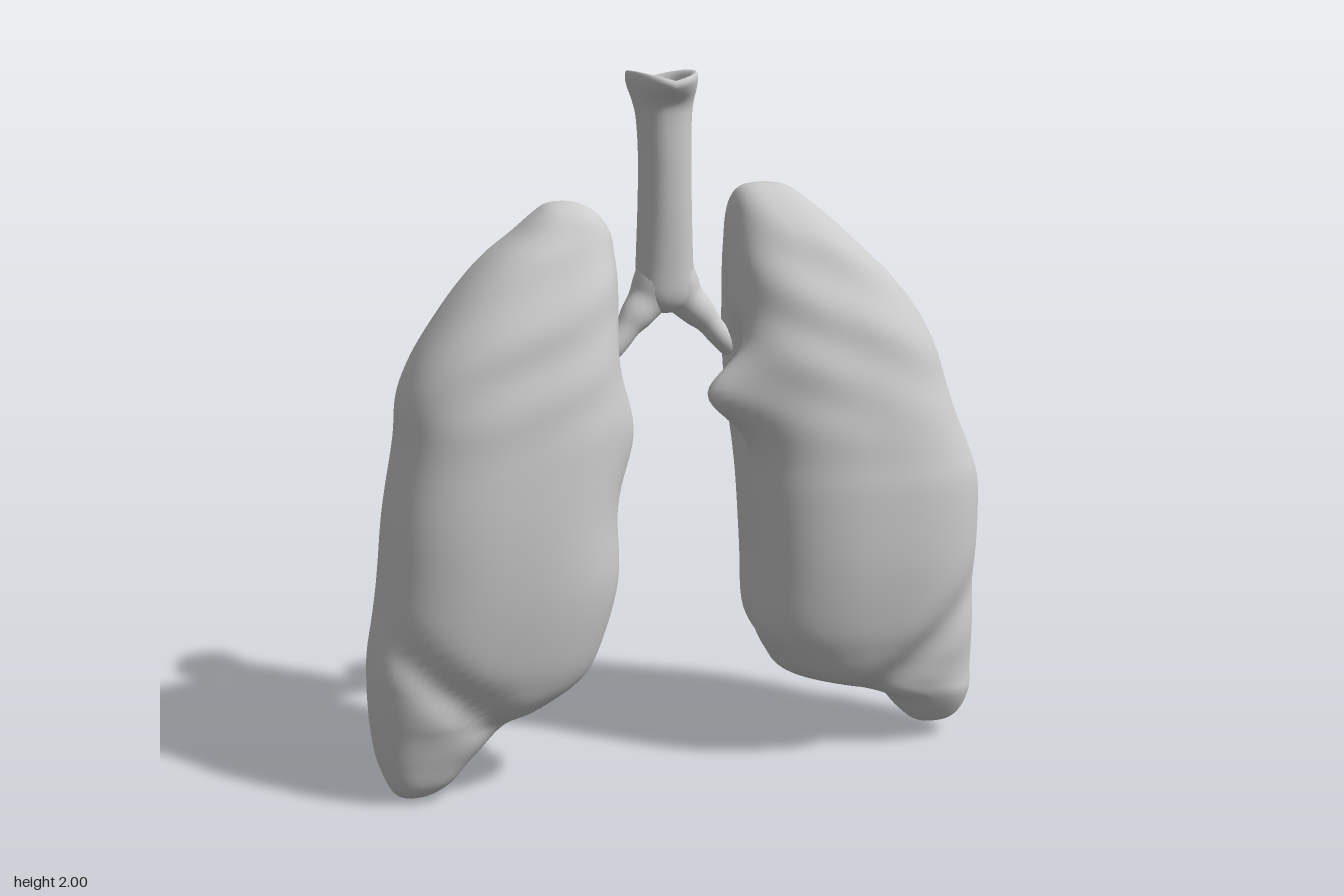
import * as THREE from 'three';
import { mergeVertices } from 'three/addons/utils/BufferGeometryUtils.js';

const material = new THREE.MeshStandardMaterial({ color: 0xcccccc, side: THREE.DoubleSide });
const bump = (v, centre, width) => Math.exp(-(((v - centre) / width) ** 2));

// Smooth skin through horizontal sections [y, xMin, xMax, zBack, zFront], listed bottom to top.
function loft(rows, steps, sides, power, deform) {
  const a = new THREE.CatmullRomCurve3(rows.map(r => new THREE.Vector3(r[1], r[0], r[2])), false, 'catmullrom');
  const b = new THREE.CatmullRomCurve3(rows.map(r => new THREE.Vector3(r[3], 0, r[4])), false, 'catmullrom');
  const positions = [], index = [], p = new THREE.Vector3();
  for (let i = 0; i <= steps; i++) {
    const s = a.getPoint(i / steps), d = b.getPoint(i / steps);
    const cx = (s.x + s.z) / 2, cz = (d.x + d.z) / 2;
    for (let j = 0; j < sides; j++) {
      const t = (j / sides) * Math.PI * 2, c = Math.cos(t), n = Math.sin(t);
      const u = Math.sign(c) * Math.abs(c) ** power, w = Math.sign(n) * Math.abs(n) ** power;
      p.set(cx + u * (s.z - s.x) / 2, s.y, cz + w * (d.z - d.x) / 2);
      if (deform) deform(p, u, w, s.z - s.x);
      positions.push(p.x, p.y, p.z);
      if (i < steps) {
        const k = i * sides + j, l = i * sides + (j + 1) % sides;
        index.push(k, k + sides, l, l, k + sides, l + sides);
      }
    }
  }
  let g = new THREE.BufferGeometry();
  g.setAttribute('position', new THREE.Float32BufferAttribute(positions, 3));
  g.setIndex(index);
  g = mergeVertices(g, 1e-5);
  g.computeVertexNormals();
  return g;
}

// Lung from [y, inner, outer, zBack, zFront]; side is +1 (left) or -1 (right).
function lungGeometry(side, rows, hilum) {
  const sections = rows.map(([y, i, o, b, f]) => side > 0 ? [y, i, o, b, f] : [y, -o, -i, b, f]);
  return loft(sections, 110, 80, 0.8, (p, u, w, width) => {
    const x = Math.abs(p.x), medial = Math.max(0, -u * side), size = Math.min(1, width / 0.4);
    // fissure between the front and back lobes on the inner face
    const span = THREE.MathUtils.smoothstep(p.y, 0.22, 0.4) * (1 - THREE.MathUtils.smoothstep(p.y, 1.15, 1.35));
    p.x += side * medial * size * 0.07 * span * bump(p.z, 0.0, 0.045);
    // inner bulge of the front lobe
    p.x -= side * medial * hilum.size * bump(p.y, hilum.y, hilum.height) * bump(p.z, 0.07, 0.09);
    // diagonal hollow above the lower outer tip
    const d = ((x - 0.58) * 0.32 - (p.y - 0.2) * 0.34) / 0.467;
    p.z -= w * 0.035 * bump(d, 0, 0.06) * size;
    // soft folds across the upper lobe
    p.z -= w * 0.006 * Math.sin(p.y * 32 + x * 14) * THREE.MathUtils.smoothstep(p.y, 0.9, 1.3) * size;
  });
}

const rightRows = [
  [0.0, 0.81, 0.81, 0.08, 0.08], [0.012, 0.76, 0.86, 0.03, 0.13], [0.05, 0.7, 0.888, 0.0, 0.165],
  [0.12, 0.63, 0.912, -0.06, 0.185], [0.2, 0.53, 0.922, -0.1, 0.205], [0.25, 0.42, 0.925, -0.125, 0.225],
  [0.32, 0.31, 0.925, -0.16, 0.247], [0.42, 0.255, 0.918, -0.195, 0.27], [0.6, 0.205, 0.885, -0.228, 0.283],
  [0.8, 0.205, 0.86, -0.245, 0.275], [1.0, 0.18, 0.82, -0.262, 0.25], [1.12, 0.175, 0.805, -0.27, 0.23],
  [1.22, 0.178, 0.762, -0.276, 0.205], [1.32, 0.175, 0.695, -0.278, 0.175], [1.42, 0.172, 0.615, -0.265, 0.13],
  [1.5, 0.175, 0.535, -0.247, 0.085], [1.56, 0.182, 0.455, -0.225, 0.04], [1.61, 0.215, 0.395, -0.195, 0.0],
  [1.637, 0.26, 0.355, -0.16, -0.05], [1.645, 0.31, 0.31, -0.11, -0.11],
];
const leftRows = [
  [0.04, 0.78, 0.78, 0.07, 0.07], [0.052, 0.725, 0.845, 0.02, 0.13], [0.09, 0.68, 0.885, -0.02, 0.16],
  [0.15, 0.62, 0.905, -0.07, 0.19], [0.2, 0.46, 0.91, -0.1, 0.205], [0.25, 0.31, 0.912, -0.125, 0.222],
  [0.32, 0.245, 0.912, -0.16, 0.245], [0.42, 0.2, 0.912, -0.195, 0.268], [0.6, 0.2, 0.915, -0.228, 0.283],
  [0.8, 0.193, 0.917, -0.245, 0.275], [0.9, 0.188, 0.89, -0.255, 0.262], [1.0, 0.178, 0.85, -0.262, 0.25],
  [1.1, 0.17, 0.82, -0.27, 0.23], [1.2, 0.165, 0.79, -0.276, 0.21], [1.3, 0.168, 0.745, -0.28, 0.18],
  [1.4, 0.173, 0.67, -0.27, 0.14], [1.5, 0.178, 0.57, -0.25, 0.09], [1.58, 0.185, 0.485, -0.222, 0.035],
  [1.64, 0.202, 0.41, -0.19, -0.01], [1.672, 0.235, 0.36, -0.16, -0.05], [1.683, 0.3, 0.3, -0.11, -0.11],
];
// Windpipe: up the outside, over the flared rim and down into the hollow.
const windpipeRows = [
  [1.31, 0, 0, -0.115, -0.115], [1.32, -0.045, 0.045, -0.16, -0.07], [1.36, -0.085, 0.085, -0.18, -0.045],
  [1.45, -0.085, 0.08, -0.195, -0.04], [1.6, -0.078, 0.075, -0.203, -0.035], [1.75, -0.075, 0.073, -0.203, -0.035],
  [1.86, -0.08, 0.075, -0.205, -0.038], [1.91, -0.088, 0.08, -0.22, -0.032], [1.95, -0.1, 0.088, -0.262, -0.002],
  [1.975, -0.103, 0.09, -0.275, 0.01], [1.99, -0.097, 0.085, -0.265, 0.0], [1.975, -0.075, 0.067, -0.235, -0.025],
  [1.93, -0.055, 0.052, -0.2, -0.045], [1.86, -0.05, 0.047, -0.185, -0.055], [1.78, -0.045, 0.042, -0.18, -0.06],
  [1.77, 0, 0, -0.12, -0.12],
];

// Tapering airway from the windpipe into one lung.
function bronchusGeometry(side) {
  const path = new THREE.CatmullRomCurve3([
    [0.01, 1.43, -0.118], [0.055, 1.355, -0.112], [0.11, 1.295, -0.09], [0.155, 1.24, -0.08], [0.23, 1.17, -0.075],
  ].map(([x, y, z]) => new THREE.Vector3(side * x, y, z)));
  const steps = 30, sides = 24, g = new THREE.TubeGeometry(path, steps, 1, sides);
  const pos = g.attributes.position, v = new THREE.Vector3();
  for (let i = 0; i < pos.count; i++) {
    const t = Math.floor(i / (sides + 1)) / steps, c = path.getPointAt(t);
    const r = 0.034 + 0.036 * (1 - THREE.MathUtils.smoothstep(t, 0.05, 0.6)) + 0.006 * bump(t, 0.45, 0.1);
    v.fromBufferAttribute(pos, i).sub(c).multiplyScalar(r).add(c);
    pos.setXYZ(i, v.x, v.y, v.z);
  }
  g.deleteAttribute('uv');
  g.deleteAttribute('normal');
  const merged = mergeVertices(g, 1e-5);
  merged.computeVertexNormals();
  return merged;
}

export function createModel() {
  const model = new THREE.Group();
  model.name = 'lungs';
  const add = (name, geometry) => {
    const mesh = new THREE.Mesh(geometry, material);
    mesh.name = name;
    model.add(mesh);
  };
  add('rightLung', lungGeometry(-1, rightRows, { y: 1.0, height: 0.13, size: 0.035 }));
  add('leftLung', lungGeometry(1, leftRows, { y: 1.1, height: 0.095, size: 0.125 }));
  // rim rises at its sides and dips at front and back
  add('windpipe', loft(windpipeRows, 90, 40, 0.9, (p, u) => {
    p.y += (Math.abs(u) - 0.5) * 0.025 * THREE.MathUtils.smoothstep(p.y, 1.9, 1.98);
  }));
  add('leftBronchus', bronchusGeometry(1));
  add('rightBronchus', bronchusGeometry(-1));
  return model;
}
